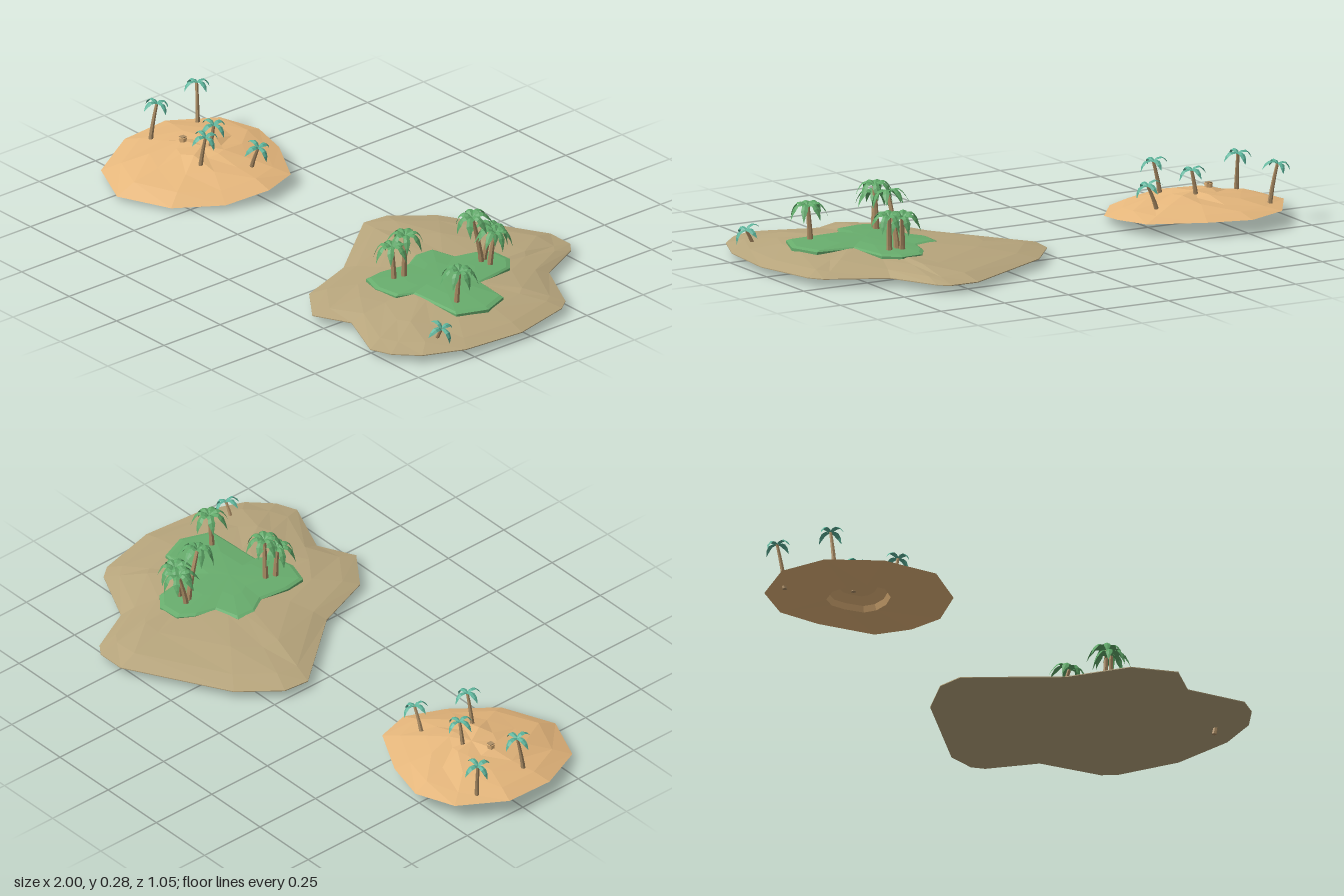
import * as THREE from 'three';

const mat = (name, color, extra = {}) => {
  const m = new THREE.MeshStandardMaterial({ color, flatShading: true, ...extra });
  m.name = name;
  return m;
};

// Flat-faced geometry from points and triangle corners.
function faceted(pos, index) {
  const g = new THREE.BufferGeometry();
  g.setAttribute('position', new THREE.Float32BufferAttribute(pos, 3));
  g.setIndex(index);
  const flat = g.toNonIndexed();
  flat.computeVertexNormals();
  return flat;
}

// Skins rings of [x, y, z] points; the first and last ring are single points repeated.
function loft(rings) {
  const n = rings[0].length, index = [];
  for (let r = 0; r < rings.length - 1; r++) {
    for (let i = 0; i < n; i++) {
      const j = (i + 1) % n, a = r * n + i, b = r * n + j, c = a + n, d = b + n;
      if (r < rings.length - 2) index.push(a, c, d);
      if (r > 0) index.push(a, d, b);
    }
  }
  return faceted(rings.flat(2), index);
}

// Outline [x, z] shrunk towards a centre; y may vary per corner.
const ring = (outline, [cx, cz], scale, y, bump = 0) => outline.map(([x, z], i) => [
  cx + (x - cx) * scale,
  (typeof y === 'function' ? y(i) : y) + bump * Math.sin(i * 2.3 + scale * 9),
  cz + (z - cz) * scale,
]);

// Arched leaf: raised midrib, edges drooping, jagged width when toothed.
function frondGeometry(length, width, rise, drop, steps, toothed) {
  const pos = [], index = [];
  for (let s = 0; s <= steps; s++) {
    const t = s / steps, last = s === steps;
    const notch = toothed && s % 2 ? 0.72 : 1;
    const w = last ? 0 : width * notch * Math.pow(Math.sin(Math.PI * (0.12 + 0.88 * t)), 0.6);
    const x = length * (t - 0.15 * t * t * t), y = rise * Math.sin(Math.PI * t) - drop * t * t;
    pos.push(x, y - w * 0.4, -w, x, y, 0, x, y - w * 0.4, w);
    if (last) continue;
    for (const k of [0, 1]) {
      const a = s * 3 + k;
      index.push(a, a + 1, a + 4);
      if (s < steps - 1) index.push(a, a + 4, a + 3);
    }
  }
  return faceted(pos, index);
}

// Tapered trunk bending from base to crown.
function trunkGeometry(base, crown, radius) {
  const h = crown[1] - base[1];
  const g = new THREE.CylinderGeometry(radius * 0.6, radius, h, 6, 4);
  const p = g.attributes.position;
  for (let i = 0; i < p.count; i++) {
    const t = THREE.MathUtils.clamp(p.getY(i) / h + 0.5, 0, 1), s = Math.pow(t, 1.4);
    p.setXYZ(i,
      p.getX(i) + base[0] + (crown[0] - base[0]) * s,
      base[1] + t * h,
      p.getZ(i) + base[2] + (crown[2] - base[2]) * s);
  }
  g.computeVertexNormals();
  return g;
}

export function createModel() {
  const model = new THREE.Group();
  model.name = 'islands';
  const sand = mat('golden sand', 0xe6b77c);
  const earth = mat('dull sand', 0xb8a67d);
  const grass = mat('grass', 0x68ad6d);
  const bark = mat('bark', 0xae8f66);
  const leaf = mat('palm green', 0x5fa868, { side: THREE.DoubleSide });
  const teal = mat('teal palm green', 0x5cb39a, { side: THREE.DoubleSide });

  const add = (name, geometry, material, parent = model) => {
    const m = new THREE.Mesh(geometry, material);
    m.name = name;
    parent.add(m);
    return m;
  };

  // Small sandy island with a hollow underneath
  const smallOutline = [[-0.754, -0.27], [-0.6, -0.23], [-0.42, -0.13], [-0.38, 0], [-0.42, 0.16],
    [-0.53, 0.31], [-0.72, 0.39], [-0.9, 0.31], [-0.995, 0.125], [-1, -0.06], [-0.9, -0.22]];
  const smallRim = [0.05, 0.05, 0.045, 0.04, 0.018, 0.013, 0.012, 0.02, 0.045, 0.055, 0.055];
  const sc = [-0.7, 0.03];
  add('smallIsland', loft([
    ring(smallOutline, sc, 0, 0.075),
    ring(smallOutline, sc, 0.2, 0.07),
    ring(smallOutline, sc, 0.31, 0.05),
    ring(smallOutline, sc, 0.34, 0.03),
    ring(smallOutline, sc, 1, (i) => smallRim[i]),
    ring(smallOutline, sc, 0.8, (i) => 0.6 * smallRim[i] + 0.036, 0.003),
    ring(smallOutline, sc, 0.52, (i) => 0.3 * smallRim[i] + 0.067, 0.004),
    ring(smallOutline, sc, 0.25, 0.095, 0.006),
    ring(smallOutline, sc, 0, 0.1),
  ]), sand);

  // Large flat island
  const largeOutline = [[0.476, -0.53], [0.58, -0.53], [0.62, -0.5], [0.705, -0.33], [0.91, -0.23],
    [0.945, -0.185], [1, 0.04], [0.98, 0.27], [0.92, 0.415], [0.845, 0.49], [0.77, 0.52], [0.57, 0.435],
    [0.44, 0.5], [0.305, 0.4], [0.225, 0.18], [0, -0.1], [0.01, -0.195], [0.12, -0.33]];
  const lc = [0.58, 0.03];
  add('largeIsland', loft([
    ring(largeOutline, lc, 0, 0.025),
    ring(largeOutline, lc, 1, 0.025),
    ring(largeOutline, lc, 1, 0.028),
    ring(largeOutline, lc, 0.87, 0.044, 0.003),
    ring(largeOutline, lc, 0.64, 0.061, 0.003),
    ring(largeOutline, lc, 0.35, 0.072),
    ring(largeOutline, lc, 0, 0.075),
  ]), earth);

  // Raised grass patch
  const grassOutline = [[0.525, -0.235], [0.605, -0.24], [0.66, -0.195], [0.685, -0.045], [0.82, -0.03],
    [0.86, 0.07], [0.82, 0.18], [0.605, 0.19], [0.58, 0.245], [0.49, 0.26], [0.41, 0.235], [0.4, 0.16],
    [0.415, 0.05], [0.375, -0.015], [0.38, -0.085], [0.47, -0.11], [0.49, -0.185]];
  const gc = [0.58, 0.05];
  add('grassPatch', loft([
    ring(grassOutline, gc, 0, 0.045),
    ring(grassOutline, gc, 1, 0.045),
    ring(grassOutline, gc, 1, 0.071),
    ring(grassOutline, gc, 0.94, 0.076),
    ring(grassOutline, gc, 0.5, 0.083),
    ring(grassOutline, gc, 0, 0.085),
  ]), grass);

  const bigFrond = frondGeometry(0.08, 0.014, 0.022, 0.042, 6, true);
  const smallFrond = frondGeometry(0.064, 0.01, 0.014, 0.024, 4, false);

  // Palm whose crown tilts with the lean of its trunk
  function palm(name, base, crown, radius, frond, count, material, turn) {
    const g = new THREE.Group();
    g.name = name;
    model.add(g);
    add('trunk', trunkGeometry(base, crown, radius), bark, g);
    const top = new THREE.Group();
    top.name = 'crown';
    top.position.set(...crown);
    const h = crown[1] - base[1];
    top.rotation.set((crown[2] - base[2]) / h, 0, (base[0] - crown[0]) / h);
    g.add(top);
    for (let i = 0; i < count; i++) {
      add('frond', frond, material, top).rotation.y = turn + (i / count) * Math.PI * 2;
    }
  }

  // Leafy palms on the grass: base, crown
  [
    [[0.57, 0.06, -0.145], [0.578, 0.262, -0.095]],
    [[0.605, 0.06, -0.15], [0.615, 0.198, -0.165]],
    [[0.56, 0.06, -0.16], [0.575, 0.196, -0.185]],
    [[0.49, 0.06, 0.135], [0.498, 0.236, 0.135]],
    [[0.48, 0.06, 0.17], [0.475, 0.196, 0.175]],
    [[0.755, 0.05, 0.125], [0.768, 0.196, 0.122]],
  ].forEach(([b, c], i) => palm('leafyPalm', b, c, 0.011, bigFrond, 7, leaf, i * 0.7));

  // Slender palms with four crossed fronds
  [
    [[-0.905, 0.04, -0.125], [-0.928, 0.202, -0.14]],
    [[-0.9, 0.05, 0.09], [-0.893, 0.2, 0.067]],
    [[-0.69, 0.07, 0], [-0.672, 0.18, 0]],
    [[-0.615, 0.05, 0.11], [-0.585, 0.2, 0.11]],
    [[-0.52, 0.04, -0.035], [-0.478, 0.155, -0.035]],
    [[0.86, 0, 0.312], [0.9, 0.09, 0.312]],
  ].forEach(([b, c], i) => palm('slenderPalm', b, c, 0.009, smallFrond, 4, teal, 0.06 * (i % 3 - 1)));

  // Little stump on the sandy hill
  add('stump', new THREE.CylinderGeometry(0.015, 0.011, 0.032, 6).translate(-0.77, 0.098, 0.055), sand);
  add('stumpTop', new THREE.BoxGeometry(0.018, 0.004, 0.018).translate(-0.77, 0.115, 0.055), bark);

  return model;
}
